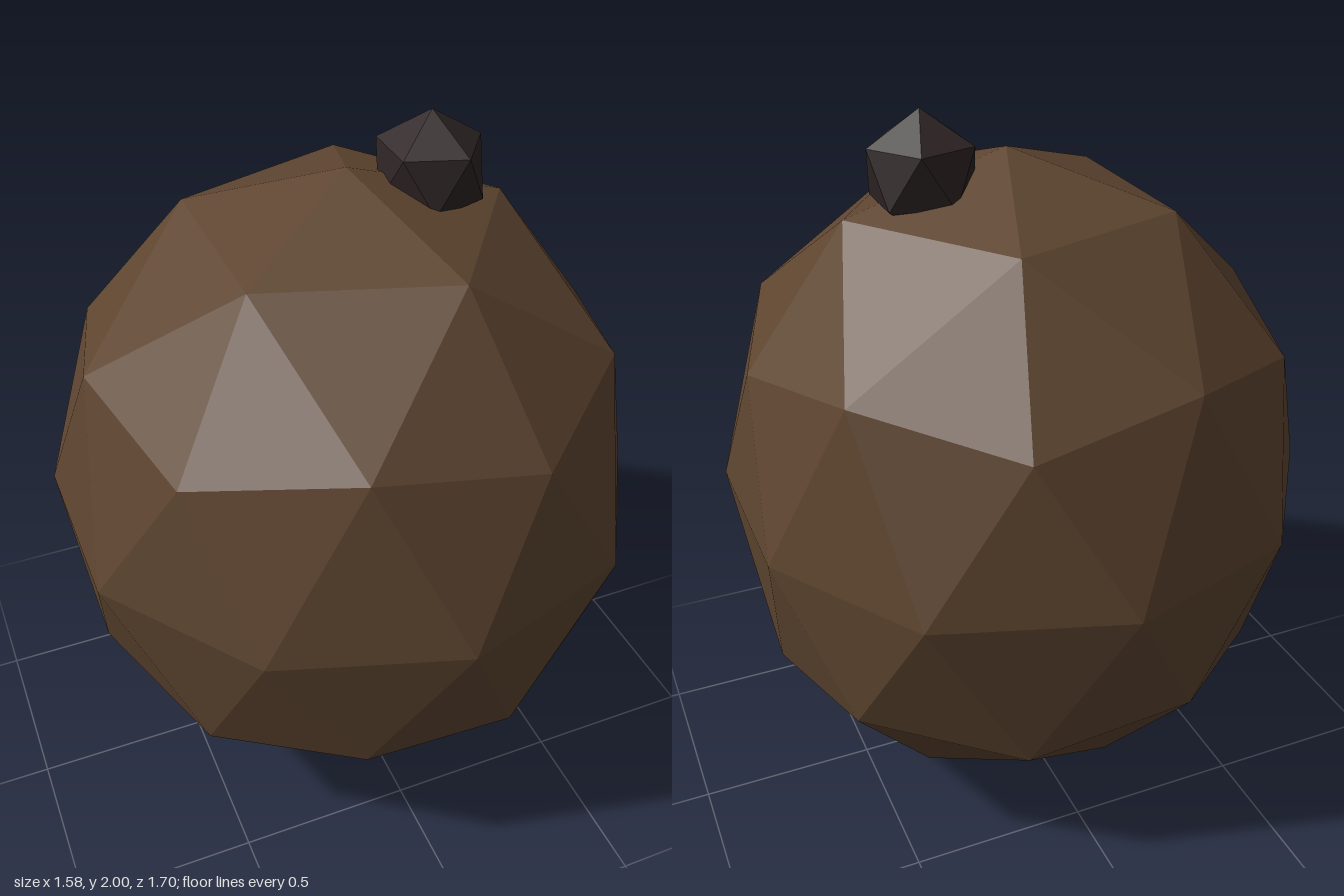
import * as THREE from 'three';

// Faceted ball with one of its five-sided corners at the top and an edge ring facing +x
function facetedBall(detail) {
  const geometry = new THREE.IcosahedronGeometry(1, detail);
  geometry.rotateX(-Math.atan2(1 + Math.sqrt(5), 2));
  geometry.rotateY(Math.PI / 2);
  return geometry;
}

export function createModel() {
  const model = new THREE.Group();
  model.name = 'roundNut';

  const shellBrown = new THREE.MeshStandardMaterial({ color: 0x5e4530 });
  shellBrown.name = 'shellBrown';
  shellBrown.flatShading = true;
  const stemDark = new THREE.MeshStandardMaterial({ color: 0x2e2425 });
  stemDark.name = 'stemDark';
  stemDark.flatShading = true;

  // Shell: tall faceted ball, slightly flattened on its left side
  const shellGeometry = facetedBall(1).scale(0.85, 0.94, 0.85);
  const p = shellGeometry.attributes.position;
  for (let i = 0; i < p.count; i++) {
    const x = p.getX(i);
    p.setX(i, x - 0.035 * THREE.MathUtils.smoothstep(x, 0.7, 0.77));
  }
  shellGeometry.computeVertexNormals();
  const shell = new THREE.Mesh(shellGeometry, shellBrown);
  shell.name = 'shell';
  shell.position.set(0.015, 0.94, 0.007);
  model.add(shell);

  // Stem nub: small faceted ball sunk into the top, off centre
  const nub = new THREE.Mesh(facetedBall(0).scale(0.16, 0.16, 0.16), stemDark);
  nub.name = 'stemNub';
  nub.position.set(0.246, 1.84, 0.013);
  model.add(nub);

  return model;
}
